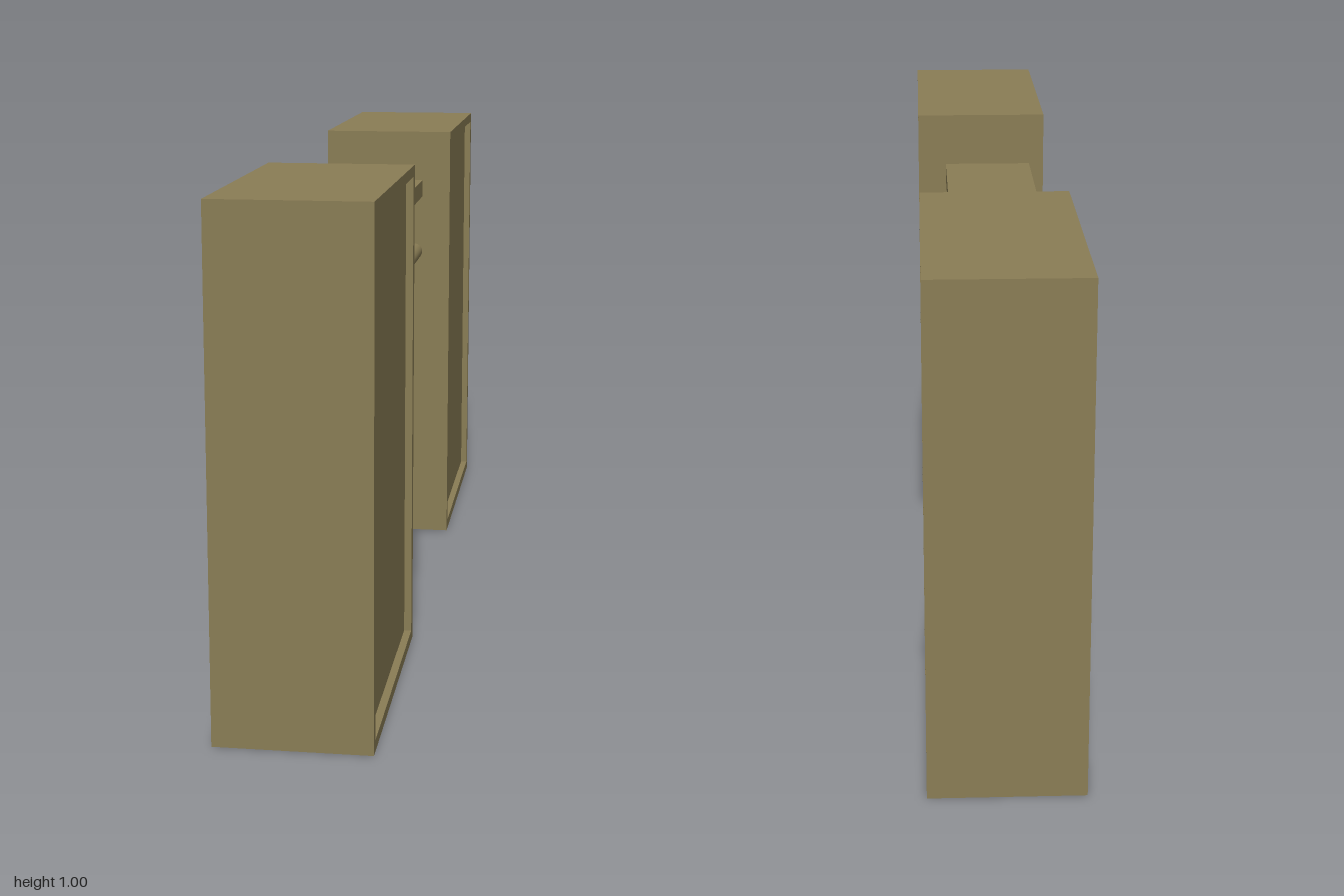
import * as THREE from 'three';

export function createModel() {
  const root = new THREE.Group();
  const mat = new THREE.MeshStandardMaterial({ color: 0x8a7d55 });

  const add = (parent, name, geo) => {
    const mesh = new THREE.Mesh(geo, mat);
    mesh.name = name;
    parent.add(mesh);
    return mesh;
  };
  // box given by its limits on each axis
  const box = (parent, name, x0, x1, y0, y1, z0, z1) =>
    add(parent, name, new THREE.BoxGeometry(x1 - x0, y1 - y0, z1 - z0))
      .position.set((x0 + x1) / 2, (y0 + y1) / 2, (z0 + z1) / 2);

  // tall end cabinets: a core set back inside a frame on both broad sides
  const H = 1.005, W = 0.15, zIn = 0.385, t = 0.022, recess = 0.015;
  for (const s of [1, -1]) {
    const cabinet = new THREE.Group();
    cabinet.name = s > 0 ? 'frontCabinet' : 'backCabinet';
    const outline = new THREE.Shape([[zIn, 0], [1, 0], [1, H], [zIn, H]]
      .map(([a, b]) => new THREE.Vector2(a * s, b)));
    outline.holes.push(new THREE.Path([[zIn + t, t], [zIn + t, H - t], [1 - t, H - t], [1 - t, t]]
      .map(([a, b]) => new THREE.Vector2(a * s, b))));
    const frame = new THREE.ExtrudeGeometry(outline, { depth: 2 * W, bevelEnabled: false });
    frame.translate(0, 0, -W).rotateY(-Math.PI / 2);
    add(cabinet, 'cabinetFrame', frame);
    const z = [s * (zIn + t), s * (1 - t)].sort((a, b) => a - b);
    box(cabinet, 'recessedPanel', -W + recess, W - recess, t, H - t, z[0], z[1]);
    root.add(cabinet);
  }

  // bridge between the cabinets, sitting slightly off the centre line
  const bridge = new THREE.Group();
  bridge.name = 'bridge';
  bridge.position.x = -0.015;
  root.add(bridge);
  const B = 0.075, C = 0.069;
  box(bridge, 'topSlab', -0.1, 0.1, 0.85, 0.89, -0.37, 0.37);
  box(bridge, 'middlePanel', -B, B, 0.44, 0.85, -0.157, 0.157);

  for (const s of [1, -1]) {
    const part = (name, hx, y0, y1, a, b) =>
      box(bridge, name, -hx, hx, y0, y1, Math.min(a * s, b * s), Math.max(a * s, b * s));
    part('sideCore', C, 0.43, 0.85, 0.157, 0.368);
    part('sidePanel', B, 0.445, 0.85, 0.163, 0.365);
    part('leg', B, 0, 0.437, 0.147, 0.37);
    part('joiningStrip', 0.06, 0, 0.825, 0.365, 0.386);

    // round rail along each broad side
    const rail = add(bridge, s > 0 ? 'leftRail' : 'rightRail',
      new THREE.CylinderGeometry(0.019, 0.019, 0.74, 20));
    rail.rotation.x = Math.PI / 2;
    rail.position.set(s * 0.081, 0.715, 0);
  }
  return root;
}
